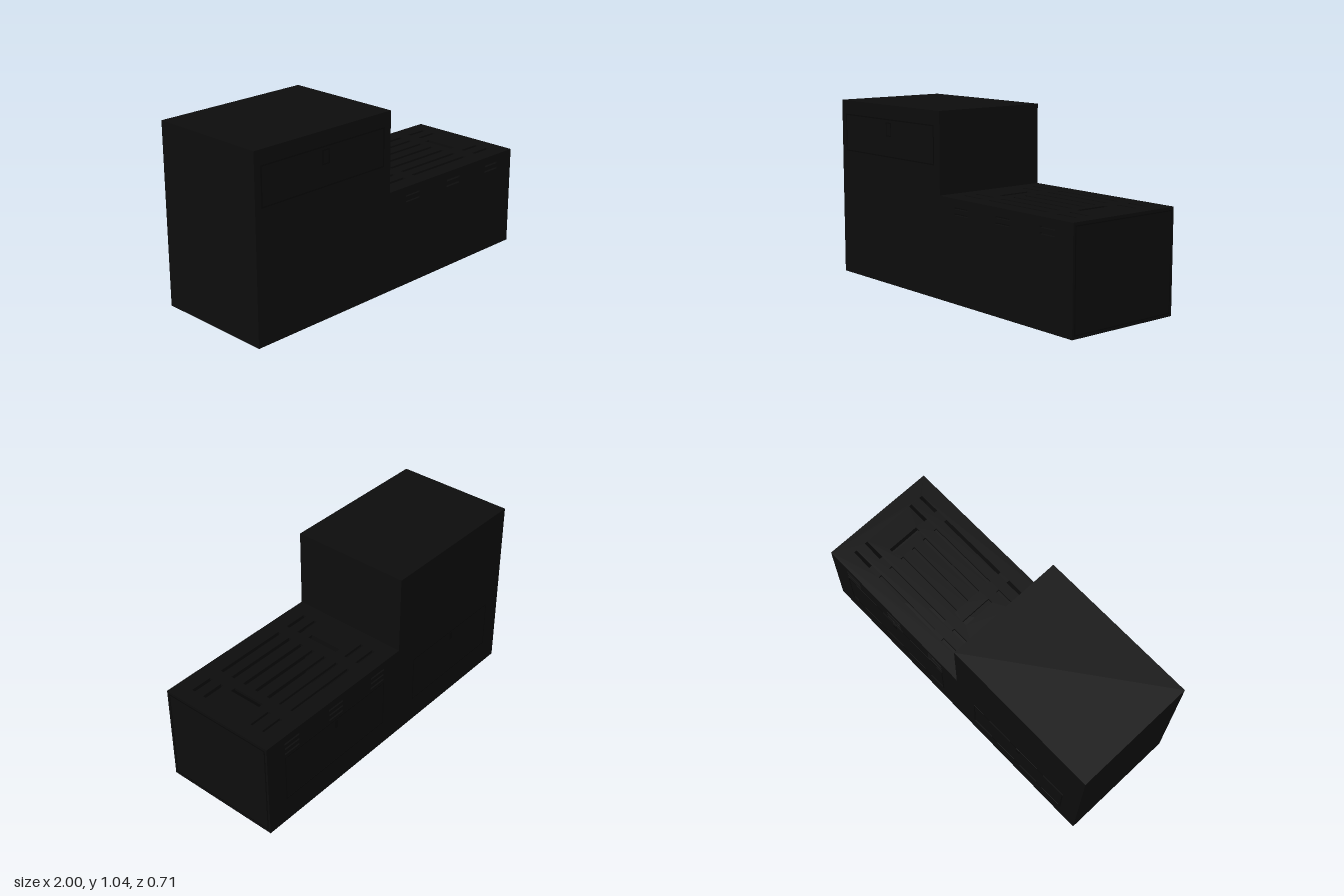
import * as THREE from 'three';

const HALF = 0.355, LOW = 0.58, TALL = 1.04, SPLIT = -0.05, WALL = 0.015;

export function createModel() {
  const model = new THREE.Group();
  const body = new THREE.MeshStandardMaterial({ color: 0x0d0d0d });
  body.name = 'black casing';
  const dark = new THREE.MeshStandardMaterial({ color: 0x070707 });
  dark.name = 'dark seam';

  function add(name, geometry, material, x, y, z, parent = model) {
    const mesh = new THREE.Mesh(geometry, material);
    mesh.name = name;
    mesh.position.set(x, y, z);
    parent.add(mesh);
    return mesh;
  }

  function rect(Type, x0, y0, x1, y1) {
    return new Type([[x0, y0], [x1, y0], [x1, y1], [x0, y1]].map(p => new THREE.Vector2(...p)));
  }

  // Flat sheet with rectangular cut-outs, each [x0, y0, x1, y1]
  function sheet(outline, holes, depth) {
    const shape = rect(THREE.Shape, ...outline);
    shape.holes = holes.map(h => rect(THREE.Path, ...h));
    return new THREE.ExtrudeGeometry(shape, { depth, bevelEnabled: false });
  }

  // Thin outline around a door or access panel
  function seam(x0, y0, x1, y1, t = 0.007) {
    return sheet([x0, y0, x1, y1], [[x0 + t, y0 + t, x1 - t, y1 - t]], 0.002);
  }

  // Tall cabinet
  const w = SPLIT + 1;
  add('tallCabinet', new THREE.BoxGeometry(w, TALL, HALF * 2), body, -1 + w / 2, TALL / 2, 0);

  // Low cabinet: open shell with louvres running through front and back
  const louvres = rows => [0.08, 0.42, 0.76].flatMap(x =>
    rows.map(y => [x, y, x + 0.11, y + 0.011]));
  const wallOutline = [SPLIT, 0, 1, LOW];
  add('lowFront', sheet(wallOutline, louvres([0.49, 0.523]), WALL), body, 0, 0, HALF - WALL);
  add('lowBack', sheet(wallOutline, louvres([0.457, 0.49, 0.523]), WALL), body, 0, 0, -HALF);
  add('lowFloor', new THREE.BoxGeometry(1 - SPLIT, WALL, HALF * 2), body, (1 + SPLIT) / 2, WALL / 2, 0);
  add('lowEnd', new THREE.BoxGeometry(WALL, LOW, HALF * 2), body, 1 - WALL / 2, LOW / 2, 0);

  // Slotted top grille
  const slots = [];
  for (const z of [-0.25, -0.17, -0.085, 0, 0.085, 0.17, 0.25]) {
    slots.push([0.25, z - 0.01, 0.7, z + 0.01]);
    if (Math.abs(z) > 0.1) {
      slots.push([0.04, z - 0.01, 0.18, z + 0.01], [0.78, z - 0.01, 0.91, z + 0.01]);
    }
  }
  for (const x of [0.165, 0.77]) slots.push([x - 0.015, -0.1, x + 0.015, 0.1]);
  const grille = add('topGrille', sheet([SPLIT, -HALF, 1, HALF], slots, WALL), body, 0, LOW - WALL, 0);
  grille.rotation.x = -Math.PI / 2;

  // Drawer on the tall front
  add('drawerSeam', seam(-0.96, 0.74, -0.1, 0.96), dark, 0, 0, HALF - 0.0005);
  add('drawerLatch', seam(-0.55, 0.86, -0.5, 0.94, 0.006), dark, 0, 0, HALF - 0.0005);

  // Access doors with latches on the back
  for (const [x0, x1] of [[-0.886, -0.184], [0.077, 0.873]]) {
    const door = new THREE.Group();
    door.name = 'rearDoor';
    model.add(door);
    const mid = (x0 + x1) / 2;
    add('doorSeam', seam(x0, 0.15, x1, 0.44), dark, 0, 0, -HALF - 0.0015, door);
    add('doorLatch', new THREE.BoxGeometry(0.025, 0.05, 0.004), dark, mid, 0.405, -HALF - 0.001, door);
  }

  // Panel outline on the low end
  const end = add('endPanelSeam', seam(-0.342, 0.015, 0.342, 0.565), dark, 1 - 0.0015, 0, 0);
  end.rotation.y = Math.PI / 2;

  return model;
}
